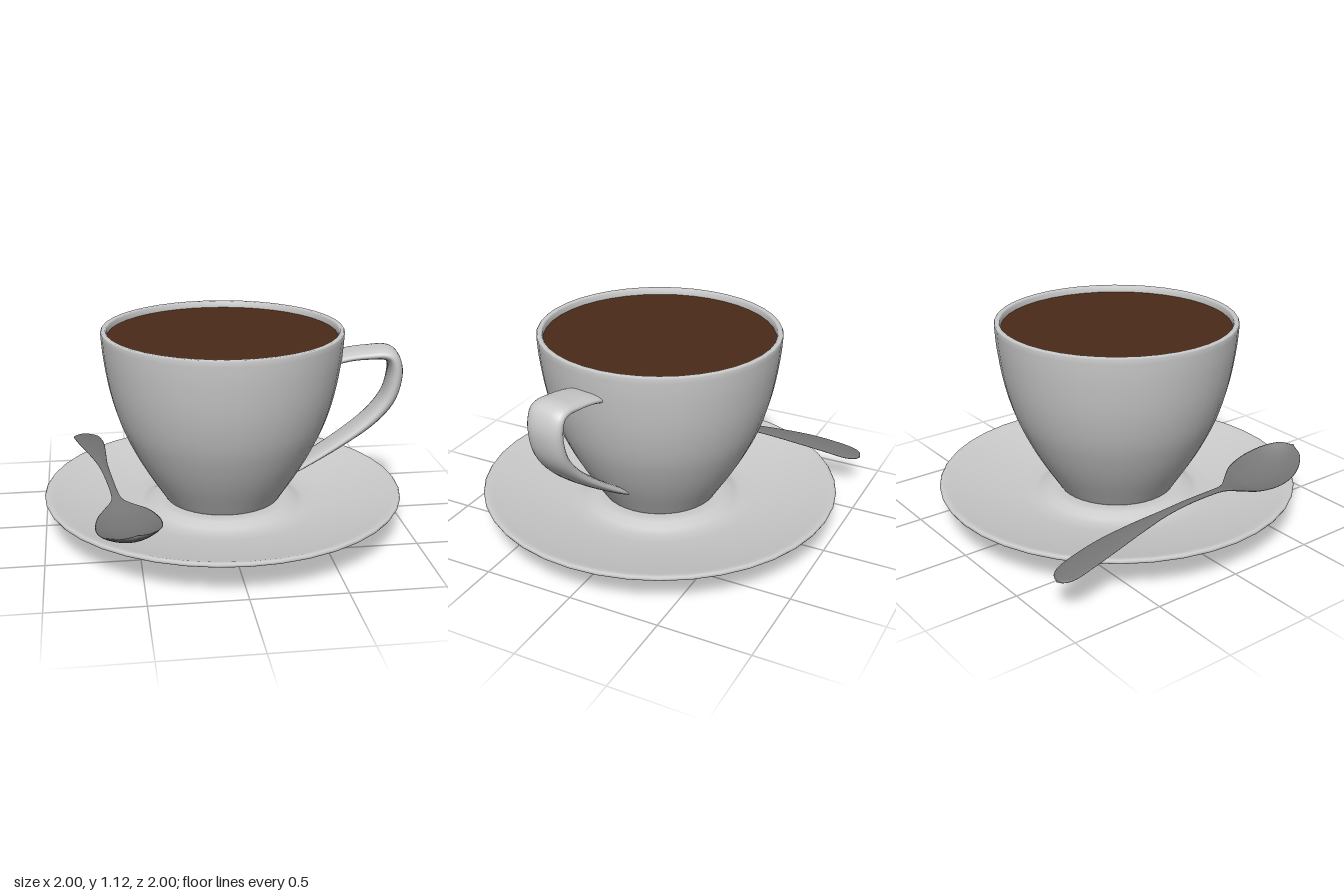
import * as THREE from 'three';

const china = new THREE.MeshStandardMaterial({ color: 0xcccccc });
const steel = new THREE.MeshStandardMaterial({ color: 0x767676 });
const coffeeBrown = new THREE.MeshStandardMaterial({ color: 0x4a2a18 });
const v2 = (p) => new THREE.Vector2(p[0], p[1]);
const path3 = (pts) => new THREE.CatmullRomCurve3(
  pts.map((p) => new THREE.Vector3(...p)), false, 'catmullrom', 0.5);

function part(name, geometry, material) {
  const mesh = new THREE.Mesh(geometry, material);
  mesh.name = name;
  return mesh;
}

// Skin a row of closed cross-sections, with a fan cap at each end
function loft(rings) {
  const n = rings[0].length, pos = [], idx = [];
  rings.forEach((ring) => ring.forEach((p) => pos.push(p.x, p.y, p.z)));
  for (let i = 0; i < rings.length - 1; i++) {
    for (let j = 0; j < n; j++) {
      const a = i * n + j, b = i * n + (j + 1) % n;
      idx.push(a, b, a + n, b, b + n, a + n);
    }
  }
  const last = (rings.length - 1) * n;
  for (let j = 1; j < n - 1; j++) {
    idx.push(0, j + 1, j, last, last + j, last + j + 1);
  }
  const g = new THREE.BufferGeometry();
  g.setAttribute('position', new THREE.Float32BufferAttribute(pos, 3));
  g.setIndex(idx);
  g.computeVertexNormals();
  return g;
}

// Saucer: flat foot, flared underside, rounded lip, shallow well and raised seat
function makeSaucer() {
  const profile = [
    [0, 0.01], [0.28, 0.01], [0.3, 0.005], [0.37, 0.005], [0.5, 0.027], [0.7, 0.078],
    [0.88, 0.137], [0.975, 0.17], [0.995, 0.18], [1, 0.19], [0.993, 0.199], [0.975, 0.2],
    [0.95, 0.193], [0.85, 0.168], [0.7, 0.137], [0.55, 0.112], [0.47, 0.108],
    [0.43, 0.12], [0.39, 0.145], [0.35, 0.152], [0, 0.152],
  ];
  return part('saucer', new THREE.LatheGeometry(profile.map(v2), 40), china);
}

// Cup: smooth outer wall, rounded rim, thin inner wall
function makeCup() {
  const wall = new THREE.SplineCurve([
    [0.325, 0.155], [0.36, 0.21], [0.435, 0.33], [0.505, 0.46], [0.57, 0.61],
    [0.62, 0.79], [0.65, 0.98], [0.66, 1.112],
  ].map(v2)).getPoints(24);
  const rim = [[0.655, 1.12], [0.635, 1.12], [0.628, 1.112]].map(v2);
  const inner = wall.slice(2, -1).reverse().map((p) => new THREE.Vector2(p.x - 0.033, p.y));
  const profile = [v2([0, 0.15]), v2([0.31, 0.15]), ...wall, ...rim, ...inner, v2([0, 0.2])];
  return part('cup', new THREE.LatheGeometry(profile, 40), china);
}

// Broad strap handle following an ear-shaped path; z of each point is half thickness
function makeHandle() {
  const path = path3([
    [0.6, 0.953, 0.026], [0.7, 0.977, 0.026], [0.8, 0.988, 0.029], [0.88, 0.99, 0.033],
    [0.925, 0.96, 0.037], [0.94, 0.87, 0.042], [0.905, 0.735, 0.042], [0.8, 0.603, 0.036],
    [0.63, 0.468, 0.027], [0.46, 0.353, 0.02], [0.4, 0.318, 0.018],
  ]);
  const rings = [], steps = 50, sides = 20;
  for (let i = 0; i <= steps; i++) {
    const t = i / steps, p = path.getPoint(t);
    const d = path.getTangent(t);
    const len = Math.hypot(d.x, d.y);
    const nx = d.y / len * -1, ny = d.x / len;
    const halfWidth = 0.115 - 0.015 * t;
    const ring = [];
    for (let j = 0; j < sides; j++) {
      const a = j / sides * Math.PI * 2;
      const c = Math.cos(a), s = Math.sin(a);
      const w = Math.sign(c) * Math.abs(c) ** 0.75 * halfWidth;
      const h = -s * p.z;
      ring.push(new THREE.Vector3(p.x + nx * h, p.y + ny * h, w));
    }
    rings.push(ring);
  }
  const handle = part('handle', loft(rings), china);
  handle.rotation.y = -0.153;
  return handle;
}

// Spoon: stations hold [z, half width, rim height, bowl depth]
function makeSpoon() {
  const stations = [
    [-0.94, 0.004, 0.2, 0], [-0.925, 0.045, 0.204, 0], [-0.87, 0.075, 0.214, 0],
    [-0.75, 0.08, 0.236, 0], [-0.6, 0.074, 0.257, 0], [-0.4, 0.052, 0.274, 0],
    [-0.2, 0.029, 0.282, 0], [0, 0.021, 0.28, 0], [0.2, 0.021, 0.265, 0],
    [0.28, 0.035, 0.256, 0.004], [0.36, 0.085, 0.252, 0.02], [0.45, 0.136, 0.252, 0.036],
    [0.58, 0.165, 0.256, 0.044], [0.7, 0.158, 0.27, 0.043], [0.79, 0.125, 0.29, 0.033],
    [0.85, 0.075, 0.308, 0.015], [0.875, 0.004, 0.318, 0],
  ];
  const shape = path3(stations.map((s) => [s[0], s[1], s[2]]));
  const dish = path3(stations.map((s) => [s[0], s[3], 0]));
  const rings = [], steps = 64, sides = 24;
  for (let i = 0; i <= steps; i++) {
    const { x: z, y: halfWidth, z: rimY } = shape.getPoint(i / steps);
    const depth = dish.getPoint(i / steps).y;
    // The bowl rolls gently toward the outside of the saucer
    const roll = 0.16 * THREE.MathUtils.smoothstep(z, 0, 0.5);
    const ring = [];
    for (let j = 0; j < sides; j++) {
      const a = j / sides * Math.PI * 2;
      const s = Math.cos(a), w = s * halfWidth;
      const y = rimY - depth * (1 - s * s) + Math.sin(a) * 0.009 + w * roll;
      ring.push(new THREE.Vector3(-0.645 + 0.133 * z + w, y, z));
    }
    rings.push(ring);
  }
  return part('spoon', loft(rings), steel);
}

export function createModel() {
  const model = new THREE.Group();
  model.name = 'cupAndSaucer';
  const coffee = part('coffee', new THREE.CircleGeometry(0.627, 40), coffeeBrown);
  coffee.rotation.x = -Math.PI / 2;
  coffee.position.y = 1.085;
  model.add(makeSaucer(), makeCup(), coffee, makeHandle(), makeSpoon());
  return model;
}
